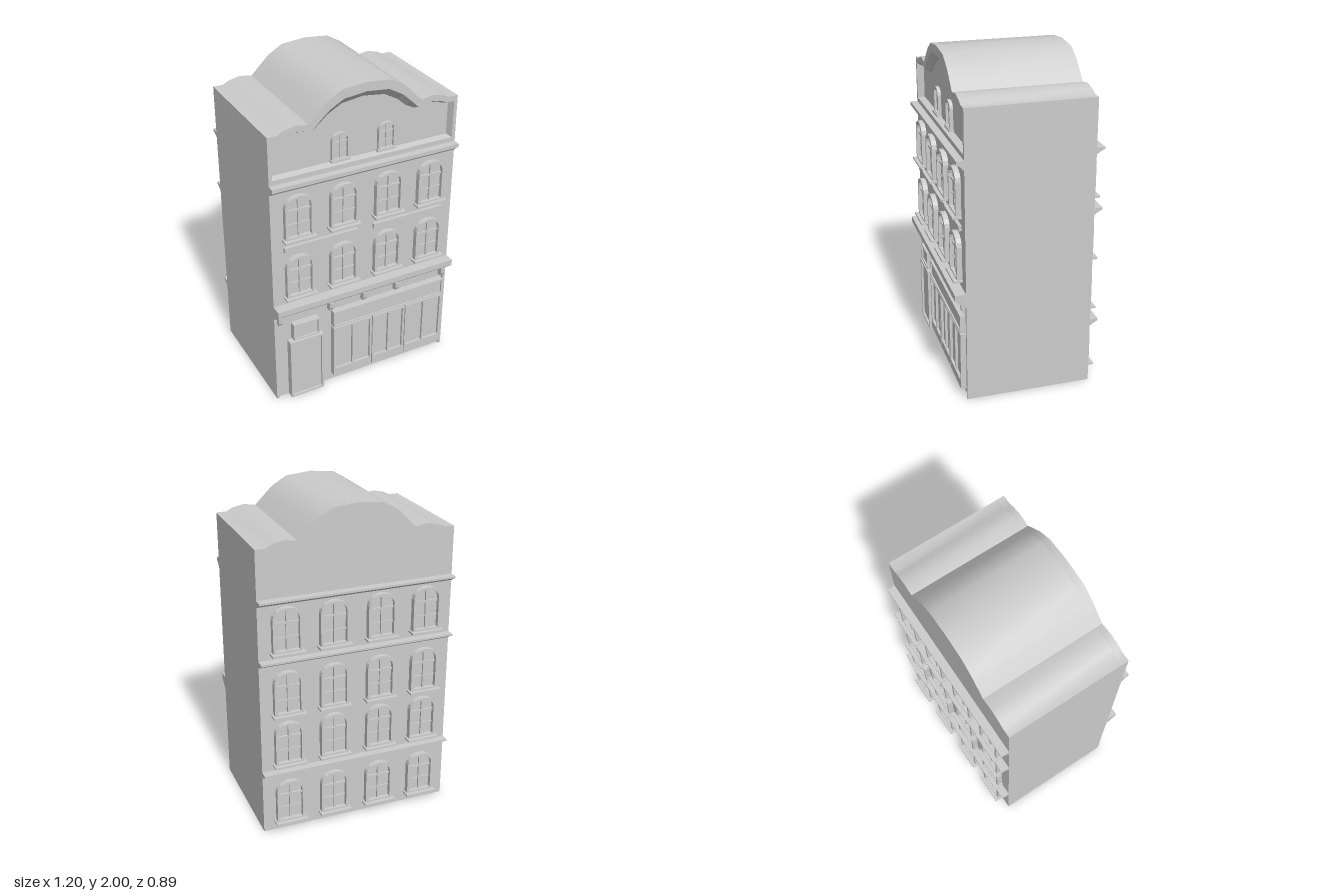
import * as THREE from 'three';
import { toCreasedNormals } from 'three/addons/utils/BufferGeometryUtils.js';

const mat = new THREE.MeshStandardMaterial({ color: 0xcccccc });
const flatMat = new THREE.MeshStandardMaterial({ color: 0xcccccc, flatShading: true, side: THREE.DoubleSide });
const FRONT = 0.38, BACK = 0.385, PANEL = 0.338;

function add(parent, name, geo, material = mat) {
  const m = new THREE.Mesh(geo, material);
  m.name = name;
  parent.add(m);
  return m;
}

// box given by its min and max on each axis
function box(parent, name, x0, x1, y0, y1, z0, z1) {
  const g = new THREE.BoxGeometry(x1 - x0, y1 - y0, z1 - z0);
  return add(parent, name, g.translate((x0 + x1) / 2, (y0 + y1) / 2, (z0 + z1) / 2));
}

const vecs = (pts) => pts.map(([x, y]) => new THREE.Vector2(x, y));
const rect = (x0, x1, y0, y1) => [[x0, y0], [x1, y0], [x1, y1], [x0, y1]];

// plate with holes, standing in the facade plane from z0 to z1
function plate(outline, holes, z0, z1) {
  const s = new THREE.Shape(vecs(outline));
  holes.forEach((h) => s.holes.push(new THREE.Path(vecs(h))));
  return new THREE.ExtrudeGeometry(s, { depth: z1 - z0, bevelEnabled: false }).translate(0, 0, z0);
}

// moulding: a (z, y) profile run along the full width
function moulding(parent, name, profile) {
  const g = new THREE.ExtrudeGeometry(new THREE.Shape(vecs(profile)), { depth: 1.2, bevelEnabled: false });
  g.rotateY(-Math.PI / 2).translate(0.6, 0, 0);
  return add(parent, name, toCreasedNormals(g, 0.7));
}

// window outline with an elliptical head, bottom at y = 0
function arch(w, h, rise, inset) {
  const r = w / 2 - inset, pts = [[-r, inset], [r, inset]];
  for (let i = 0; i <= 8; i++) {
    const a = (i / 8) * Math.PI;
    pts.push([r * Math.cos(a), h - rise + (rise - inset) * Math.sin(a)]);
  }
  return pts;
}

function archedWindow(parent, x, y, z, w, h, depth, sillOut) {
  const g = new THREE.Group();
  g.name = 'window';
  const rise = w * 0.38, rim = w * 0.09, bar = w * 0.035, half = w / 2 - rim * 0.8;
  add(g, 'windowFrame', plate(arch(w, h, rise, 0), [arch(w, h, rise, rim)], 0, depth));
  add(g, 'windowPane', plate(arch(w, h, rise, rim * 0.8), [], 0, depth * 0.25));
  box(g, 'mullion', -bar, bar, rim * 0.8, h - rim * 0.8, 0, depth * 0.6);
  box(g, 'upperBar', -half, half, h * 0.66 - bar, h * 0.66 + bar, 0, depth * 0.6);
  box(g, 'lowerBar', -half, half, h * 0.34 - bar / 2, h * 0.34 + bar / 2, 0, depth * 0.5);
  box(g, 'windowSill', -w / 2 - w * 0.07, w / 2 + w * 0.07, -0.006, 0.006, 0, sillOut);
  g.position.set(x, y, z);
  parent.add(g);
}

// framed panel with rectangular openings over a recessed backing
function framed(parent, name, r, holes, z0, z1, recess) {
  add(parent, name + 'Frame', plate(rect(...r), holes.map((h) => rect(...h)), z0, z1));
  const e = 0.004;
  box(parent, name + 'Panel', r[0] + e, r[1] - e, r[2] + e, r[3] - e, z0, z1 - recess);
}

// closed outline from the right half of a crown line (centre to edge) and a base height
function crown(half, base) {
  const edge = half[half.length - 1][0];
  const left = half.slice(1).reverse().map(([x, y]) => [-x, y]);
  return [[-edge, base], [edge, base], ...half.slice().reverse(), ...left.reverse()];
}

function buildGable(root) {
  const outer = crown([[0, 2], [0.153, 1.985], [0.243, 1.932], [0.3, 1.877], [0.355, 1.822],
    [0.43, 1.835], [0.5, 1.82], [0.54, 1.8], [0.6, 1.8]], 1.51);
  const rim = crown([[0, 1.945], [0.14, 1.93], [0.23, 1.88], [0.285, 1.83], [0.335, 1.782],
    [0.43, 1.797], [0.49, 1.785], [0.535, 1.767], [0.578, 1.767]], 1.537);
  const inner = crown([[0, 1.903], [0.135, 1.885], [0.22, 1.838], [0.275, 1.79], [0.33, 1.762],
    [0.43, 1.775], [0.49, 1.765], [0.53, 1.75], [0.564, 1.75]], 1.545);
  add(root, 'roof', toCreasedNormals(plate(outer, [], -BACK, PANEL), 0.6));
  add(root, 'gableFrame', toCreasedNormals(plate(outer, [rim], PANEL, FRONT), 0.6));
  // splayed reveal from the frame edge back to the panel
  const pos = [], idx = [], n = rim.length;
  for (let i = 0; i < n; i++) {
    pos.push(...rim[i], FRONT, ...inner[i], PANEL);
    const a = 2 * i, b = 2 * ((i + 1) % n);
    idx.push(a, b, a + 1, b, b + 1, a + 1);
  }
  const g = new THREE.BufferGeometry();
  g.setAttribute('position', new THREE.Float32BufferAttribute(pos, 3));
  g.setIndex(idx);
  g.computeVertexNormals();
  add(root, 'gableReveal', g, flatMat);
  for (const x of [-0.148, 0.148]) archedWindow(root, x, 1.552, PANEL, 0.108, 0.168, 0.02, 0.028);
}

function buildShopfront(root) {
  const z = 0.366;
  // door and transom light
  framed(root, 'door', [-0.513, -0.29, 0, 0.422], [[-0.497, -0.303, 0.012, 0.41]], z, 0.413, 0.014);
  framed(root, 'transom', [-0.487, -0.313, 0.434, 0.546], [[-0.476, -0.325, 0.444, 0.536]], z, 0.41, 0.01);
  // blank fascia board and three pairs of display windows
  framed(root, 'fascia', [-0.217, 0.566, 0.434, 0.546], [[-0.207, 0.556, 0.444, 0.536]], z, 0.41, 0.01);
  for (const [x0, x1] of [[-0.217, 0.05], [0.056, 0.288], [0.294, 0.566]]) {
    const c = (x0 + x1) / 2;
    framed(root, 'shopWindow', [x0, x1, 0.055, 0.425],
      [[x0 + 0.014, c - 0.005, 0.11, 0.415], [c + 0.005, x1 - 0.014, 0.11, 0.415]], z, 0.41, 0.016);
  }
  for (const x of [-0.566, -0.23, 0, 0.23, 0.566]) {
    const p = [[z, 0.62], [z, 0.565], [0.393, 0.565], [0.403, 0.585], [0.405, 0.62]];
    const g = new THREE.ExtrudeGeometry(new THREE.Shape(vecs(p)), { depth: 0.026, bevelEnabled: false });
    add(root, 'bracket', g.rotateY(-Math.PI / 2).translate(x + 0.013, 0, 0));
  }
}

export function createModel() {
  const root = new THREE.Group();
  root.name = 'townhouse';

  // walls, with the ground floor front set back between corner strips
  box(root, 'upperWalls', -0.6, 0.6, 0.62, 1.51, -BACK, FRONT);
  box(root, 'groundWalls', -0.6, 0.6, 0, 0.62, -BACK, 0.366);
  for (const s of [-1, 1]) {
    const a = s * 0.6, b = s * 0.582;
    box(root, 'cornerStrip', Math.min(a, b), Math.max(a, b), 0, 0.62, 0.366, FRONT);
  }
  buildGable(root);
  buildShopfront(root);

  // front cornices
  moulding(root, 'shopCornice', [[0.36, 0.617], [0.385, 0.617], [0.4, 0.624], [0.425, 0.645],
    [0.445, 0.664], [0.445, 0.702], [0.36, 0.702]]);
  moulding(root, 'upperCornice', [[0.37, 1.455], [0.388, 1.455], [0.395, 1.467], [0.41, 1.479],
    [0.425, 1.485], [0.425, 1.508], [0.37, 1.508]]);

  // front windows and string panels
  const columns = [-0.433, -0.147, 0.147, 0.433];
  for (const x of columns)
    for (const y of [0.752, 1.147]) archedWindow(root, x, y, FRONT, 0.176, 0.276, 0.032, 0.055);
  for (const s of [-1, 1])
    box(root, 'stringPanel', s * 0.289 - 0.236, s * 0.289 + 0.236, 1.065, 1.097, FRONT, 0.4);

  // rear facade
  const rear = new THREE.Group();
  rear.name = 'rearFacade';
  rear.rotation.y = Math.PI;
  for (const x of columns)
    for (const y of [0.062, 0.458, 0.787, 1.181]) archedWindow(rear, x, y, BACK, 0.176, 0.276, 0.035, 0.06);
  for (const y of [0.417, 1.141, 1.508])
    moulding(rear, 'rearCornice', [[0.375, y - 0.037], [0.392, y - 0.037], [0.405, y - 0.027],
      [0.435, y - 0.012], [0.435, y], [0.375, y]]);
  root.add(rear);
  return root;
}
